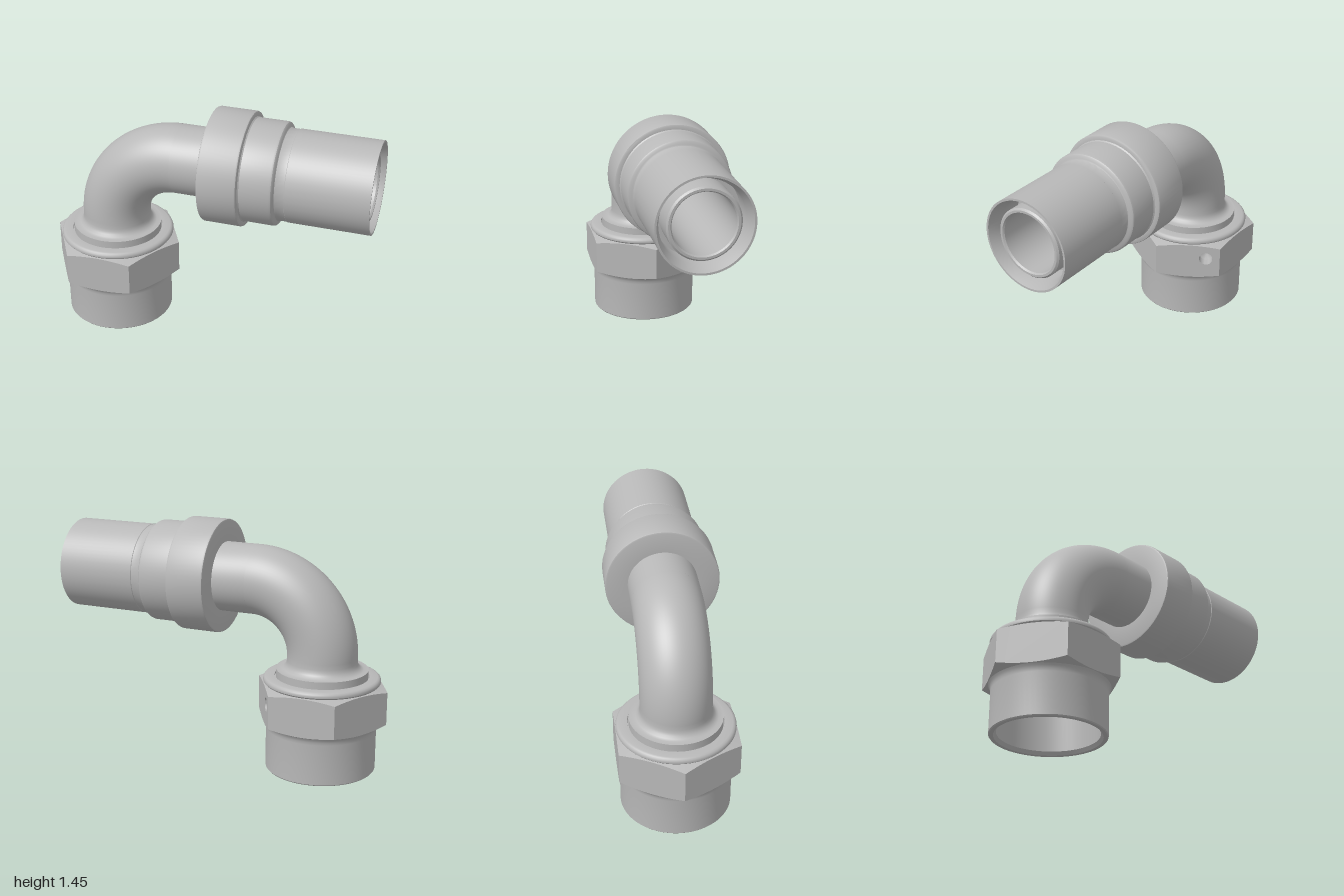
import * as THREE from 'three';
import { toCreasedNormals } from 'three/addons/utils/BufferGeometryUtils.js';

const AXIS_X = -0.6, AXIS_Y = 1.105;      // axes of the nut and of the hose end
const PIPE = 0.207, BORE = 0.175, BEND = 0.415;
const HEX = 0.4, FLAT = HEX * Math.cos(Math.PI / 6);

export function createModel() {
  const model = new THREE.Group();
  const steel = new THREE.MeshStandardMaterial({ color: 0xb8b8b8, side: THREE.DoubleSide });
  steel.name = 'steel';

  const add = (name, geometry, parent = model) => {
    const mesh = new THREE.Mesh(geometry, steel);
    mesh.name = name;
    parent.add(mesh);
    return mesh;
  };
  // turned part from [radius, height] pairs, with sharp edges kept
  const turned = (pairs, segments = 72) => toCreasedNormals(
    new THREE.LatheGeometry(pairs.map(([r, y]) => new THREE.Vector2(r, y)), segments), 0.55);

  // nut and everything else on the vertical axis
  const nut = new THREE.Group();
  nut.name = 'nut';
  nut.position.x = AXIS_X;
  model.add(nut);

  add('skirt', turned([
    [BORE, 0.69], [BORE, 0.42], [0.2, 0.4], [0.285, 0.27], [0.285, 0.02], [0.3, 0],
    [0.322, 0], [0.327, 0.006], [0.327, 0.25], [0.329, 0.267], [0.335, 0.282], [0.346, 0.297],
  ]), nut);

  add('collar', turned([
    [0.325, 0.525], [0.338, 0.53], [0.345, 0.538], [0.346, 0.547], [0.343, 0.557],
    [0.336, 0.565], [0.325, 0.569], [0.278, 0.569], [0.276, 0.56], [0.271, 0.56],
    [0.271, 0.61], [0.243, 0.61], [0.229, 0.616], [0.217, 0.628], [0.21, 0.643],
    [PIPE, 0.66], [PIPE, 0.69],
  ]), nut);

  // hexagon flats, scalloped where the chamfers cut the corners
  const topY = r => 0.527 - 0.31 * (r - FLAT);
  const lowY = r => 0.295 + 0.37 * (r - FLAT);
  const STEPS = 16;
  const us = Array.from({ length: STEPS + 1 }, (_, i) => (i / STEPS - 0.5) * HEX);
  const radius = u => Math.hypot(u, FLAT);
  const hole = { side: 2, u: 0.112, y: 0.435, r: 0.042 };

  for (let side = 0; side < 6; side++) {
    const shape = new THREE.Shape([
      ...us.map(u => new THREE.Vector2(u, lowY(radius(u)))),
      ...[...us].reverse().map(u => new THREE.Vector2(u, topY(radius(u)))),
    ]);
    if (side === hole.side) {
      shape.holes.push(new THREE.Path().absarc(hole.u, hole.y, hole.r, 0, Math.PI * 2, true));
    }
    const flat = new THREE.ShapeGeometry(shape, 16);
    flat.translate(0, 0, FLAT);
    add('hexFlat', flat, nut).rotation.y = side * Math.PI / 3;

    // conical chamfers from the round collars out to the scalloped edges
    for (const [edgeY, ringR, ringY, up] of [[topY, 0.325, 0.533, 1], [lowY, 0.335, 0.288, -1]]) {
      const pos = [], index = [];
      us.forEach((u, i) => {
        const k = ringR / radius(u);
        pos.push(u, edgeY(radius(u)), FLAT, u * k, ringY, FLAT * k);
        if (i < STEPS) {
          const a = 2 * i, b = a + 1, c = a + 2, d = a + 3;
          index.push(...(up > 0 ? [a, c, b, c, d, b] : [a, b, c, c, b, d]));
        }
      });
      const chamfer = new THREE.BufferGeometry();
      chamfer.setAttribute('position', new THREE.Float32BufferAttribute(pos, 3));
      chamfer.setIndex(index);
      chamfer.computeVertexNormals();
      add('hexChamfer', chamfer, nut).rotation.y = side * Math.PI / 3;
    }
  }

  // blind hole drilled in one flat
  const drill = turned([[hole.r, 0], [hole.r, -0.06], [0, -0.08]], 32);
  drill.rotateX(Math.PI / 2);
  drill.translate(hole.u, hole.y, FLAT);
  add('drilledHole', drill, nut).rotation.y = hole.side * Math.PI / 3;

  // quarter bend, outer wall and bore
  for (const [name, r] of [['elbow', PIPE], ['elbowBore', BORE]]) {
    const bend = new THREE.TorusGeometry(BEND, r, 64, 40, Math.PI / 2);
    bend.rotateZ(Math.PI / 2);
    add(name, bend).position.set(AXIS_X + BEND, AXIS_Y - BEND, 0);
  }

  // hose end on the horizontal axis: pipe, stepped collar, sleeve and inner tube
  const start = AXIS_X + BEND;
  const hoseEnd = turned([
    [PIPE, start], [PIPE, 0.02], [0.329, 0.02], [0.337, 0.023], [0.34, 0.031],
    [0.34, 0.243], [0.337, 0.251], [0.329, 0.255], [0.311, 0.256], [0.305, 0.263],
    [0.305, 0.436], [0.302, 0.446], [0.294, 0.453], [0.281, 0.456], [0.274, 0.46],
    [0.27, 0.468], [0.27, 0.515], [0.273, 0.518], [0.273, 1], [0.261, 1],
    [0.237, 0.93], [0.237, 0.8], [0.205, 0.8], [0.205, 0.965], [0.195, 0.975],
    [0.182, 0.975], [BORE, 0.965], [BORE, start],
  ]);
  hoseEnd.rotateZ(-Math.PI / 2);
  add('hoseEnd', hoseEnd).position.y = AXIS_Y;

  return model;
}
